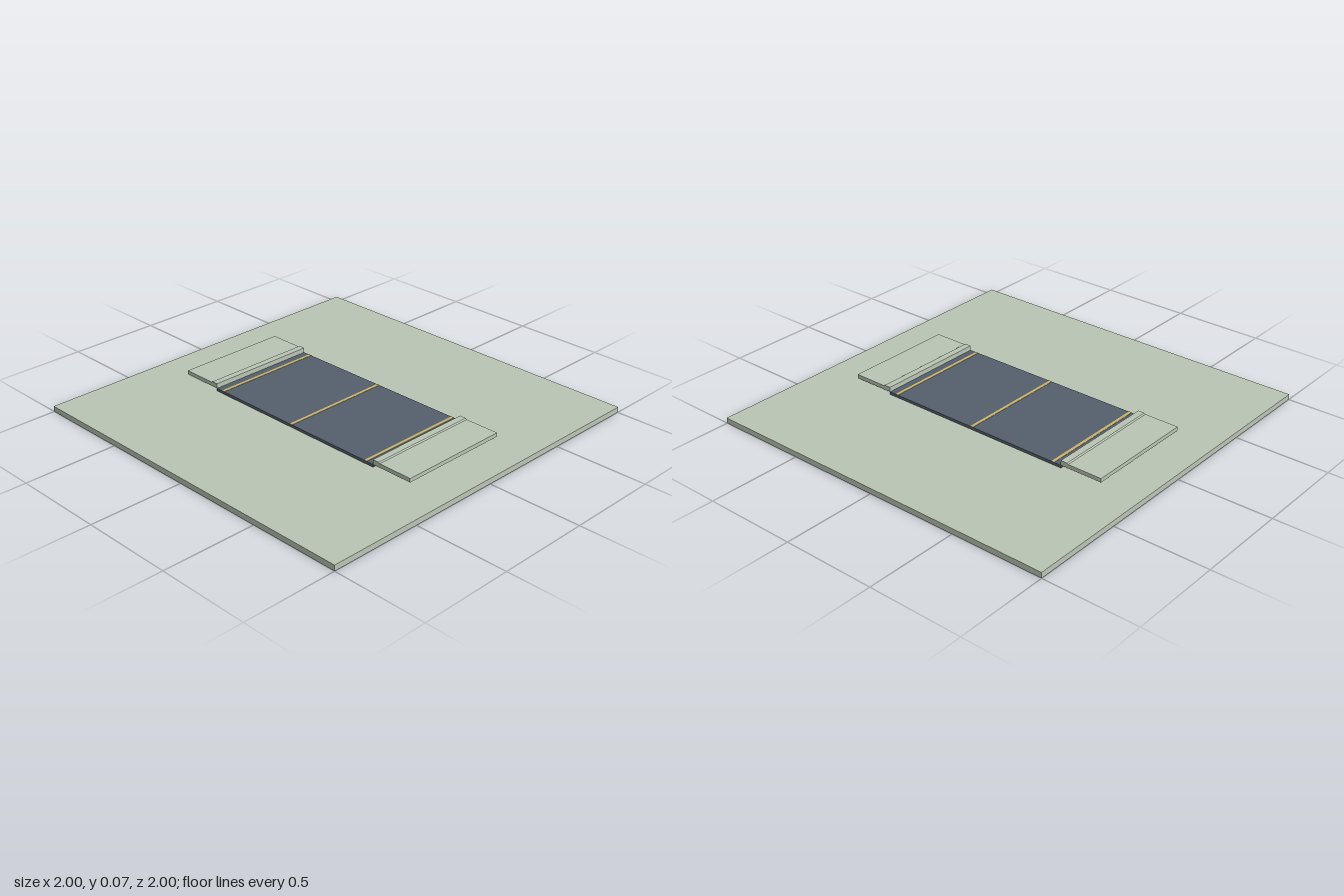
import * as THREE from 'three';

export function createModel() {
  const model = new THREE.Group();
  const sage = new THREE.MeshStandardMaterial({ color: 0xbac5b4 });
  sage.name = 'sage green';
  const slate = new THREE.MeshStandardMaterial({ color: 0x55606d });
  slate.name = 'slate blue';
  const gold = new THREE.MeshStandardMaterial({ color: 0xc9b26a });
  gold.name = 'muted gold';

  const DEPTH = 0.615;

  // Box placed by its centre x and its bottom
  function box(name, material, w, h, d, x, bottom) {
    const mesh = new THREE.Mesh(new THREE.BoxGeometry(w, h, d), material);
    mesh.name = name;
    mesh.position.set(x, bottom + h / 2, 0);
    model.add(mesh);
  }

  // Ground slab and the dark deck on it
  box('basePlate', sage, 2, 0.03, 2, 0, 0);
  box('deck', slate, 1.106, 0.015, DEPTH, 0, 0.03);

  // Thin stripes across the deck
  [['rightStripe', -0.505], ['centreStripe', 0], ['leftStripe', 0.505]].forEach(([name, x]) =>
    box(name, gold, 0.017, 0.0015, DEPTH, x, 0.045));

  // Raised end wings with a low lip along the deck edge
  for (const side of [-1, 1]) {
    const outline = [
      [0.552, 0.045], [0.785, 0.045], [0.785, 0.066],
      [0.595, 0.066], [0.588, 0.071], [0.552, 0.071],
    ].map(([x, y]) => new THREE.Vector2(side * x, y));
    const geometry = new THREE.ExtrudeGeometry(new THREE.Shape(outline), { depth: DEPTH, bevelEnabled: false });
    geometry.translate(0, 0, -DEPTH / 2);
    const wing = new THREE.Mesh(geometry, sage);
    wing.name = side > 0 ? 'leftWing' : 'rightWing';
    model.add(wing);
  }

  return model;
}
